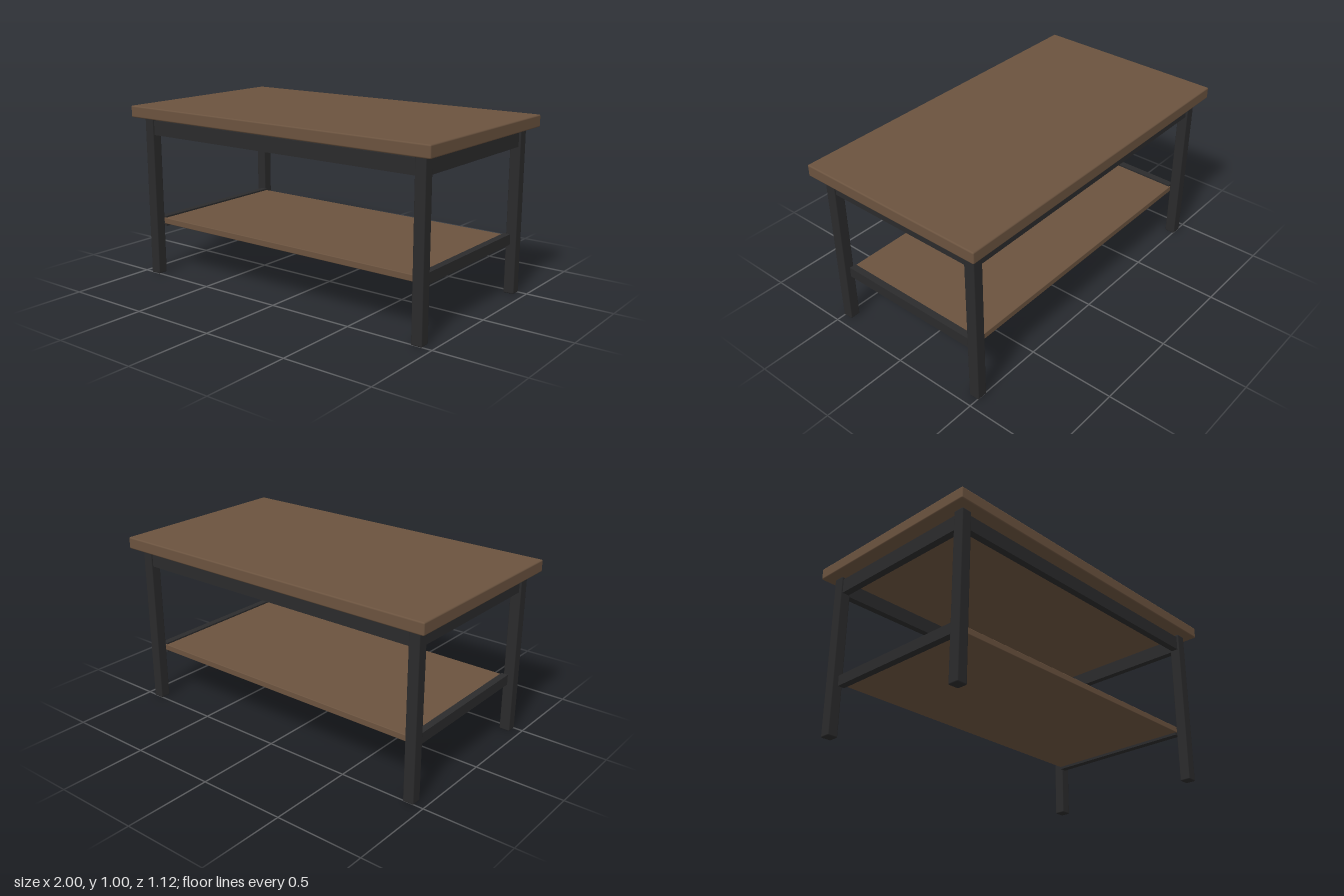
import * as THREE from 'three';
import { RoundedBoxGeometry } from 'three/addons/geometries/RoundedBoxGeometry.js';

export function createModel() {
  const table = new THREE.Group();
  table.name = 'coffeeTable';

  const wood = new THREE.MeshStandardMaterial({ color: 0x6b533f });
  wood.name = 'brown wood';
  const metal = new THREE.MeshStandardMaterial({ color: 0x2b2b2c });
  metal.name = 'dark metal';

  // Adds a box given by its size, its centre in x and z, and its bottom height
  function addBox(name, material, [w, h, d], x, bottom, z, radius = 0) {
    const geometry = radius
      ? new RoundedBoxGeometry(w, h, d, 2, radius)
      : new THREE.BoxGeometry(w, h, d);
    const mesh = new THREE.Mesh(geometry, material);
    mesh.name = name;
    mesh.position.set(x, bottom + h / 2, z);
    table.add(mesh);
  }

  const legX = 0.914, legZ = 0.476, legSize = 0.062;
  const spanX = 2 * legX - legSize;
  const spanZ = 2 * legZ - legSize;

  // Wooden surfaces
  addBox('tabletop', wood, [2, 0.067, 1.12], 0, 0.933, 0, 0.008);
  addBox('shelf', wood, [spanX, 0.036, 0.9], 0, 0.298, 0, 0.004);

  for (const side of [-1, 1]) {
    const label = side > 0 ? 'left' : 'right';

    // Legs
    for (const end of [-1, 1]) {
      addBox(label + (end > 0 ? 'FrontLeg' : 'BackLeg'), metal,
        [legSize, 0.933, legSize], side * legX, 0, end * legZ, 0.007);
    }

    // Rails under the top and beside the shelf
    addBox(label + 'UpperRail', metal, [0.04, 0.084, spanZ], side * legX, 0.833, 0);
    addBox(label + 'ShelfRail', metal, [0.04, 0.06, spanZ], side * 0.89, 0.283, 0);
    addBox(side > 0 ? 'frontUpperRail' : 'backUpperRail', metal,
      [spanX, 0.084, 0.04], 0, 0.833, side * legZ);
  }

  return table;
}
